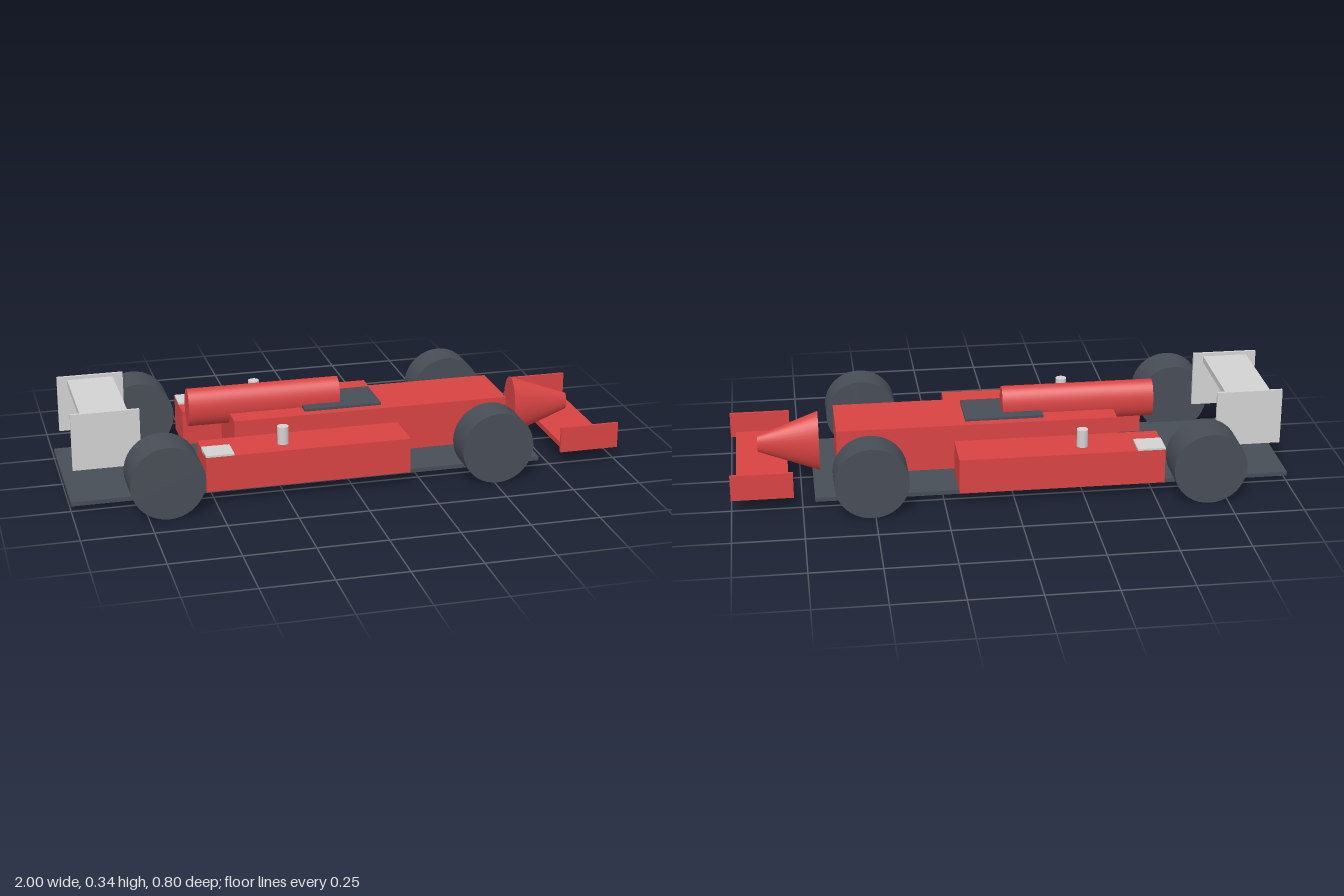
import * as THREE from 'three';

const mat = (name, color) => Object.assign(new THREE.MeshStandardMaterial({ color }), { name });

export function createModel() {
  const red = mat('body red', 0xd84343);
  const dark = mat('dark grey', 0x484e57);
  const silver = mat('light grey', 0xd2d2d2);
  const car = new THREE.Group();
  car.name = 'racingCar';

  const add = (name, geometry, material) => {
    const mesh = new THREE.Mesh(geometry, material);
    mesh.name = name;
    car.add(mesh);
    return mesh;
  };
  // Box given by its limits along each axis
  const box = (name, material, [x0, x1], [y0, y1], [z0, z1]) =>
    add(name, new THREE.BoxGeometry(x1 - x0, y1 - y0, z1 - z0), material)
      .position.set((x0 + x1) / 2, (y0 + y1) / 2, (z0 + z1) / 2);
  // Elliptical tube along x; radii are heights, flattened in z by squash
  const tube = (name, x0, x1, y, rearR, frontR, squash) => {
    const g = new THREE.CylinderGeometry(frontR, rearR, x1 - x0, 40);
    g.rotateZ(-Math.PI / 2);
    g.scale(1, 1, squash);
    add(name, g, red).position.set((x0 + x1) / 2, y, 0);
  };

  // Floor, tub, cockpit opening, engine cover and nose
  box('floor', dark, [-1, 0.706], [0.022, 0.037], [-0.258, 0.258]);
  box('chassis', red, [-0.395, 0.62], [0.06, 0.228], [-0.123, 0.123]);
  box('cockpit', dark, [-0.13, 0.154], [0.2, 0.237], [-0.09, 0.09]);
  tube('engineCover', -0.543, 0.012, 0.25, 0.07, 0.07, 0.65);
  tube('noseCone', 0.68, 0.9, 0.144, 0.114, 0.031, 0.57);

  // Wings
  box('frontWing', red, [0.795, 0.98], [0.056, 0.075], [-0.275, 0.275]);
  box('rearWing', silver, [-0.945, -0.78], [0.301, 0.324], [-0.191, 0.191]);

  for (const side of [1, -1]) {
    const label = side > 0 ? 'left' : 'right';
    const span = (a, b) => (side > 0 ? [a, b] : [-b, -a]);
    box(label + 'FrontEndplate', red, [0.78, 1], [0.055, 0.15], span(0.274, 0.284));
    box(label + 'RearEndplate', silver, [-0.982, -0.743], [0.13, 0.336], span(0.19, 0.201));

    // Sidepod with rear vent plate and upright stub
    box(label + 'Sidepod', red, [-0.535, 0.2], [0.05, 0.178], span(0.147, 0.316));
    box(label + 'VentPlate', silver, [-0.535, -0.435], [0.17, 0.185], span(0.225, 0.316));
    add(label + 'Stub', new THREE.CylinderGeometry(0.02, 0.02, 0.08, 20), silver)
      .position.set(-0.247, 0.203, side * 0.245);

    // Wheels
    for (const [name, x, width] of [['RearWheel', -0.682, 0.15], ['FrontWheel', 0.51, 0.12]]) {
      const g = new THREE.CylinderGeometry(0.131, 0.131, width, 40);
      g.rotateX(Math.PI / 2);
      add(label + name, g, dark).position.set(x, 0.131, side * (0.25 + width / 2));
    }
  }
  return car;
}
